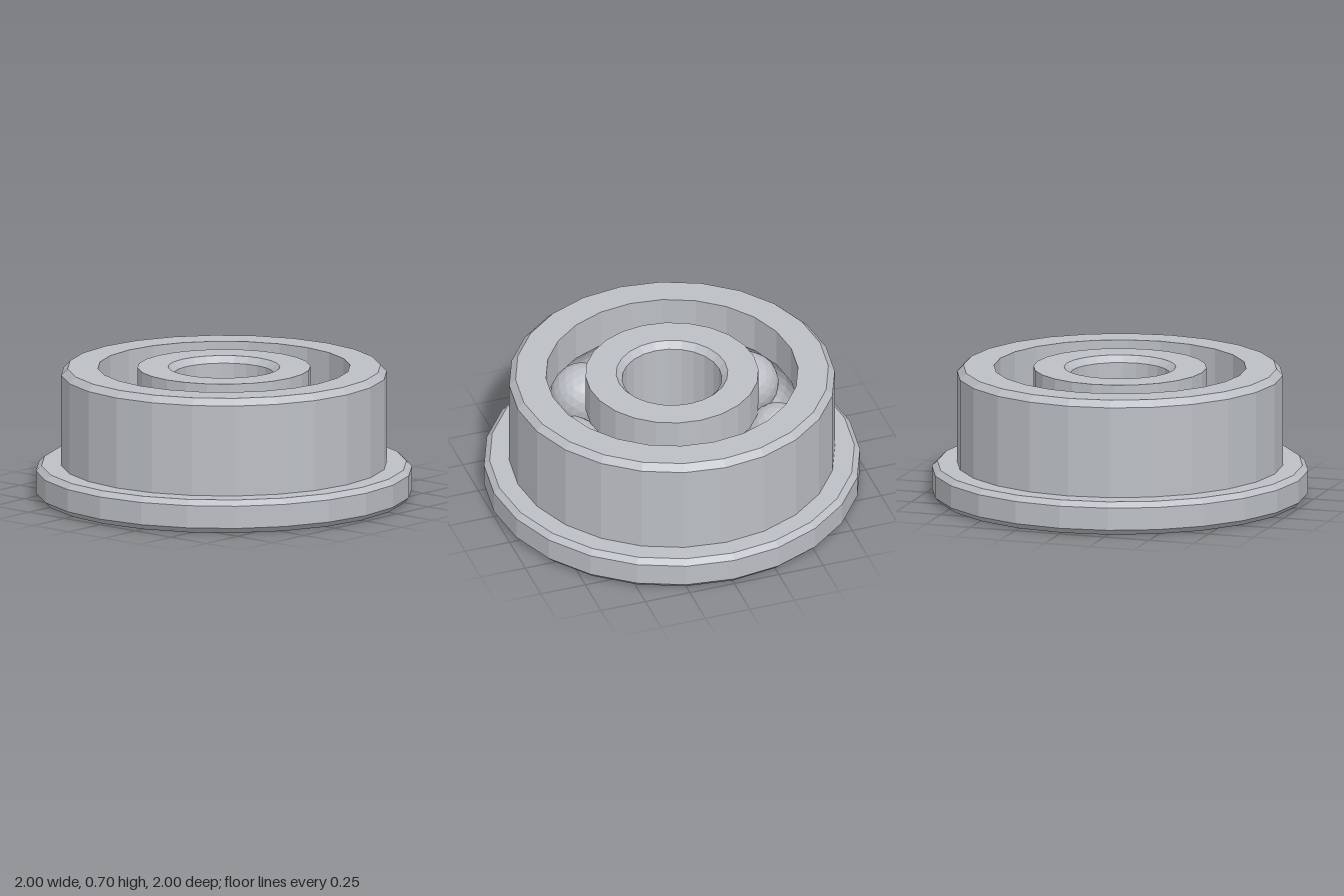
import * as THREE from 'three';

const SEGMENTS = 24;
const BALLS = 7;
const HEIGHT = 0.7;
const PITCH = 0.565;      // radius of the circle of ball centres
const GROOVE = 0.17;      // radius of the ball track section
const OUTER_BORE = 0.67;
const INNER_RIM = 0.46;

// Arc of the ball track, cut into a ring wall at the given radius
function groove(wall, steps = 8) {
  const a = Math.acos(Math.abs(wall - PITCH) / GROOVE);
  const side = Math.sign(wall - PITCH);
  return Array.from({ length: steps + 1 }, (_, i) => {
    const t = side * (a - (2 * a * i) / steps);
    return [PITCH + side * GROOVE * Math.cos(t), HEIGHT / 2 + GROOVE * Math.sin(t)];
  });
}

// Closed section, listed bottom, outside upwards, top, inside downwards
function ring(name, profile, material) {
  const points = [...profile, profile[0]].map(([r, y]) => new THREE.Vector2(r, y));
  const mesh = new THREE.Mesh(new THREE.LatheGeometry(points, SEGMENTS), material);
  mesh.name = name;
  return mesh;
}

export function createModel() {
  const group = new THREE.Group();
  group.name = 'flangedBallBearing';
  const steel = new THREE.MeshStandardMaterial({ color: 0xbcbfc5 });
  steel.name = 'steel';
  steel.flatShading = true;

  // Outer ring with a chamfered flange at the base
  group.add(ring('outerRing', [
    [OUTER_BORE, 0], [0.97, 0], [1, 0.03], [1, 0.15], [0.97, 0.178],
    [0.866, 0.178], [0.866, 0.665], [0.832, HEIGHT], [OUTER_BORE, HEIGHT],
    ...groove(OUTER_BORE),
  ], steel));

  // Inner ring with a chamfered bore
  group.add(ring('innerRing', [
    [0.297, 0], [INNER_RIM, 0],
    ...groove(INNER_RIM),
    [INNER_RIM, HEIGHT], [0.297, HEIGHT], [0.265, HEIGHT - 0.035], [0.265, 0.035],
  ], steel));

  // Balls spaced evenly around the track
  const ballGeometry = new THREE.IcosahedronGeometry(0.167, 3);
  for (let i = 0; i < BALLS; i++) {
    const a = (i / BALLS) * Math.PI * 2;
    const ball = new THREE.Mesh(ballGeometry, steel);
    ball.name = `ball${i + 1}`;
    ball.position.set(PITCH * Math.cos(a), HEIGHT / 2, PITCH * Math.sin(a));
    ball.rotation.y = -a;
    group.add(ball);
  }
  return group;
}
